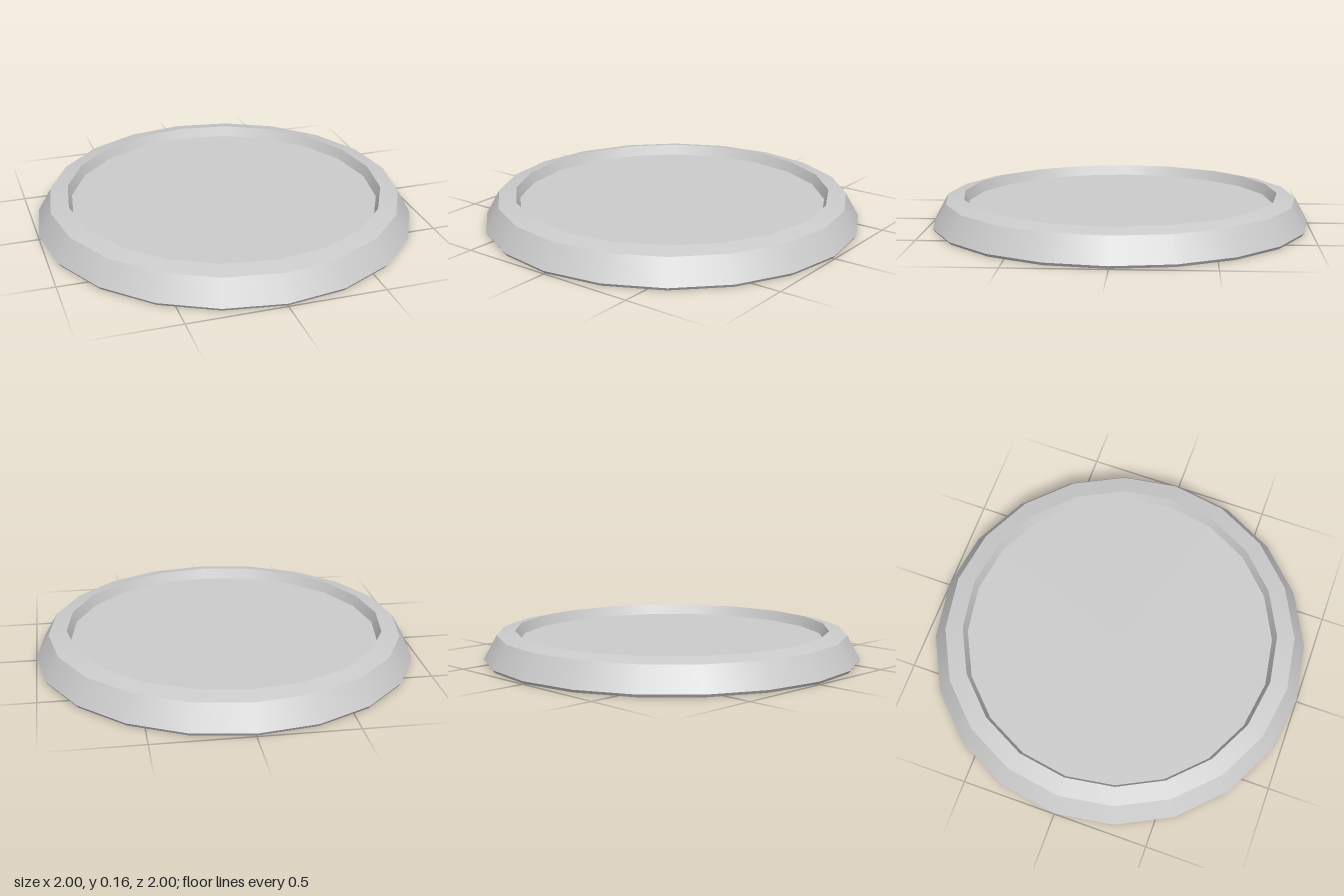
import * as THREE from 'three';

const SIDES = 20;

export function createModel() {
  const group = new THREE.Group();
  group.name = 'roundBase';
  const material = new THREE.MeshStandardMaterial({ color: 0xcccccc, side: THREE.DoubleSide });

  // One ring of the shell; separate rings keep the edges between them sharp
  const addRing = (name, from, to) => {
    const points = [new THREE.Vector2(...from), new THREE.Vector2(...to)];
    const mesh = new THREE.Mesh(new THREE.LatheGeometry(points, SIDES), material);
    mesh.name = name;
    group.add(mesh);
  };

  // Profile (radius, height) from the foot, over the rim, down to the recess
  const profile = [[0.99, 0], [1, 0.015], [0.93, 0.14], [0.835, 0.16], [0.815, 0.105]];
  const names = ['footLip', 'outerSkirt', 'topRim', 'recessWall'];
  names.forEach((name, i) => addRing(name, profile[i], profile[i + 1]));

  // Recessed floor, hollow underneath
  const floor = new THREE.Mesh(
    new THREE.CircleGeometry(0.815, SIDES).rotateX(-Math.PI / 2).translate(0, 0.105, 0),
    material
  );
  floor.name = 'recessFloor';
  group.add(floor);

  return group;
}
